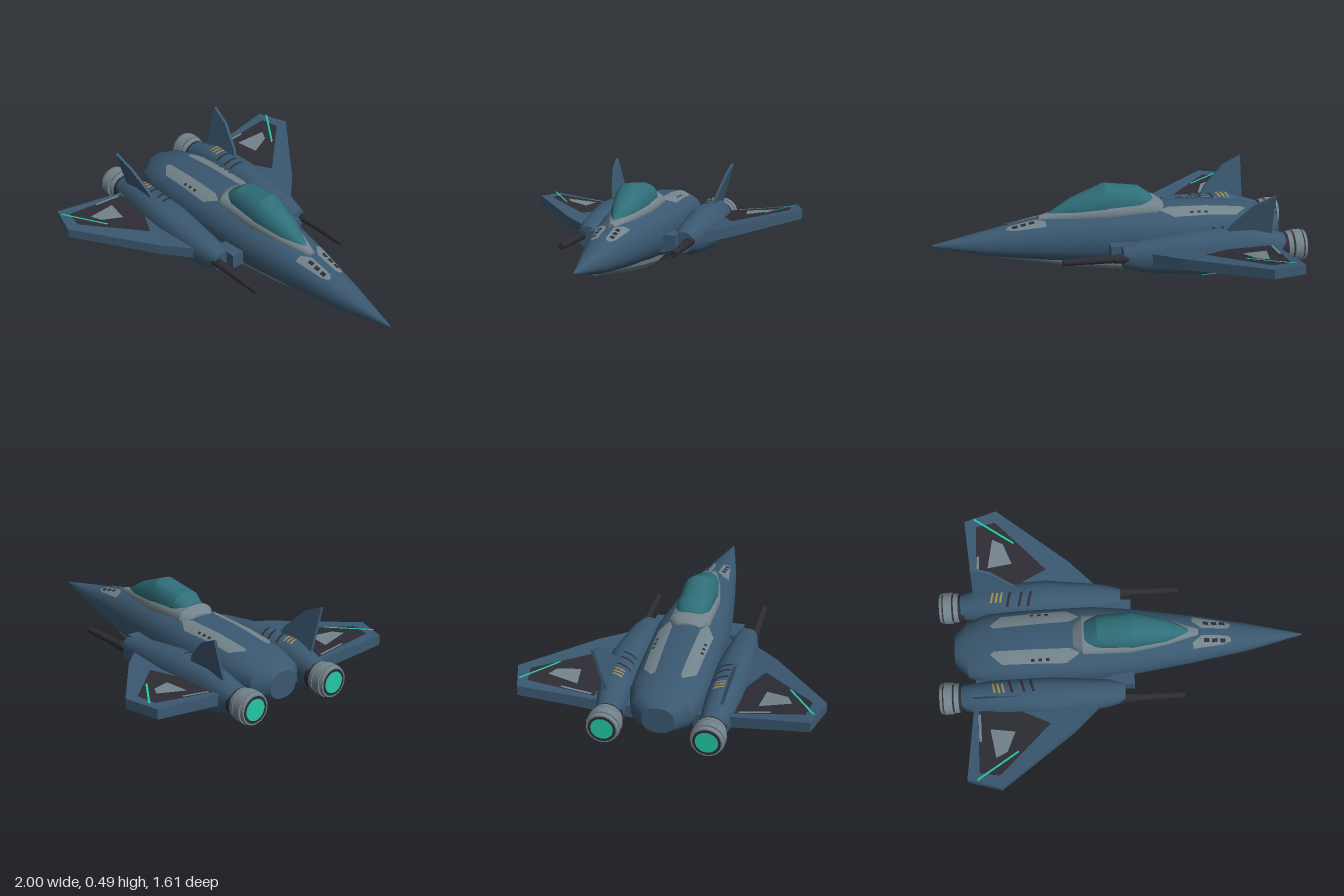
import * as THREE from 'three';
import { toCreasedNormals } from 'three/addons/utils/BufferGeometryUtils.js';

const P = 2.3; // roundness of the hull cross-sections

// Cross-sections run nose to tail: [x, half width, y of widest line, top y, bottom y, centre z]
const HULL = [
  [1, 0.004, 0.215, 0.22, 0.21, 0], [0.7, 0.075, 0.21, 0.28, 0.145, 0],
  [0.4, 0.128, 0.215, 0.338, 0.105, 0], [0.1, 0.175, 0.225, 0.375, 0.075, 0],
  [-0.15, 0.2, 0.235, 0.388, 0.05, 0], [-0.5, 0.2, 0.23, 0.375, 0.052, 0],
  [-0.72, 0.195, 0.22, 0.35, 0.08, 0], [-0.84, 0.16, 0.215, 0.32, 0.11, 0],
  [-0.91, 0.085, 0.21, 0.285, 0.14, 0],
];
const NACELLE = [
  [0.01, 0.055, 0.19, 0.245, 0.13, 0.275], [-0.1, 0.075, 0.19, 0.272, 0.1, 0.28],
  [-0.4, 0.102, 0.19, 0.312, 0.07, 0.285], [-0.7, 0.092, 0.19, 0.312, 0.073, 0.28],
  [-0.88, 0.068, 0.185, 0.258, 0.115, 0.265],
];
const BELLY = [
  [0.69, 0.03, 0.16, 0.17, 0.137, 0], [0.25, 0.11, 0.13, 0.15, 0.06, 0],
  [-0.03, 0.135, 0.11, 0.14, 0.022, 0], [-0.2, 0.125, 0.1, 0.14, 0.032, 0],
  [-0.29, 0.08, 0.09, 0.13, 0.055, 0],
];
const FRAME = [
  [0.42, 0.02, 0.325, 0.35, 0.3, 0], [0.24, 0.075, 0.35, 0.395, 0.3, 0],
  [0.05, 0.112, 0.365, 0.425, 0.3, 0], [-0.21, 0.112, 0.365, 0.43, 0.3, 0],
  [-0.26, 0.07, 0.36, 0.395, 0.3, 0],
];
const GLASS = [
  [0.37, 0.015, 0.34, 0.362, 0.33, 0], [0.24, 0.065, 0.365, 0.44, 0.34, 0],
  [0.06, 0.098, 0.39, 0.512, 0.35, 0], [-0.13, 0.092, 0.395, 0.485, 0.35, 0],
  [-0.2, 0.065, 0.395, 0.435, 0.35, 0],
];

// Skin over cross-sections with capped ends
function loft(sections, n = 28) {
  const pos = [], idx = [], last = sections.length - 1;
  const bend = (v) => Math.sign(v) * Math.abs(v) ** (2 / P);
  for (const [x, w, mid, top, bot, cz] of sections) {
    for (let j = 0; j < n; j++) {
      const t = (j / n) * Math.PI * 2, s = bend(Math.sin(t));
      pos.push(x, mid + s * (s > 0 ? top - mid : mid - bot), cz + w * bend(Math.cos(t)));
    }
  }
  const c0 = pos.length / 3;
  for (const s of [sections[0], sections[last]]) pos.push(s[0], s[2], s[5]);
  for (let j = 0; j < n; j++) {
    const k = (j + 1) % n;
    for (let i = 0; i < last; i++) {
      const a = i * n + j, b = i * n + k;
      idx.push(a, b, a + n, b, b + n, a + n);
    }
    idx.push(c0, k, j, c0 + 1, last * n + j, last * n + k);
  }
  const g = new THREE.BufferGeometry();
  g.setAttribute('position', new THREE.Float32BufferAttribute(pos, 3));
  g.setIndex(idx);
  return toCreasedNormals(g, 0.45);
}

// Height of a lofted skin at (x, z); side is 1 for the top, -1 for the underside
const skin = (sections, side, lift = 0.006) => (x, z) => {
  let i = 0;
  while (i < sections.length - 2 && x < sections[i + 1][0]) i++;
  const a = sections[i], b = sections[i + 1], t = (x - a[0]) / (b[0] - a[0]);
  const [, w, mid, top, bot, cz] = a.map((v, k) => v + (b[k] - v) * t);
  const u = Math.min(1, Math.abs((z - cz) / w));
  const h = (1 - u ** P) ** (1 / P);
  return mid + (side > 0 ? (top - mid) * h + lift : (bot - mid) * h - lift);
};
const wingTop = (z) => 0.228 + (z - 0.38) * 0.118;
const wingBottom = (z) => 0.165 + (z - 0.38) * 0.143;
const onWing = (lift) => (x, z) => wingTop(z) + lift;
const underWing = (x, z) => wingBottom(z) - 0.005;

// Thin sheet between two [x, z] edges, draped over a height rule
function panel(edgeA, edgeB, height, n = 6) {
  const pos = [], idx = [], m = (edgeA.length - 1) * 4;
  const at = (e, i) => {
    const k = Math.min(Math.floor(i / 4), e.length - 2), t = i / 4 - k;
    return [0, 1].map((q) => e[k][q] + (e[k + 1][q] - e[k][q]) * t);
  };
  for (let i = 0; i <= m; i++) {
    const a = at(edgeA, i), b = at(edgeB, i);
    for (let j = 0; j <= n; j++) {
      const x = a[0] + ((b[0] - a[0]) * j) / n, z = a[1] + ((b[1] - a[1]) * j) / n;
      pos.push(x, height(x, z), z);
      if (i < m && j < n) {
        const p = i * (n + 1) + j;
        idx.push(p, p + 1, p + n + 1, p + 1, p + n + 2, p + n + 1);
      }
    }
  }
  const g = new THREE.BufferGeometry();
  g.setAttribute('position', new THREE.Float32BufferAttribute(pos, 3));
  g.setIndex(idx);
  g.computeVertexNormals();
  return g;
}
// Narrow draped line from (x0, z0) to (x1, z1), widened along x or z
const line = (x0, z0, x1, z1, dx, dz, height) =>
  panel([[x0, z0], [x1, z1]], [[x0 + dx, z0 + dz], [x1 + dx, z1 + dz]], height, 2);

// Cylinder lying along x
const tube = (x0, x1, r0, r1, y, z) =>
  new THREE.CylinderGeometry(r1, r0, x1 - x0, 24).rotateZ(-Math.PI / 2).translate((x0 + x1) / 2, y, z);

const polygon = (pts) => new THREE.Shape(pts.map((p) => new THREE.Vector2(...p)));

function warp(g, rule) {
  const p = g.attributes.position;
  for (let i = 0; i < p.count; i++) p.setXYZ(i, ...rule(p.getX(i), p.getY(i), p.getZ(i)));
  g.computeVertexNormals();
  return g;
}

// Copy reflected across z = 0 with corner order restored
function mirrored(geo) {
  const g = geo.index ? geo.toNonIndexed() : geo.clone();
  for (const name of ['position', 'normal']) {
    const a = g.attributes[name], src = a.array.slice();
    for (let i = 0; i < a.count; i++) {
      const s = (i - (i % 3) + 2 - (i % 3)) * 3;
      a.setXYZ(i, src[s], src[s + 1], -src[s + 2]);
    }
  }
  return g;
}

export function createModel() {
  const model = new THREE.Group();
  const mat = (name, color) => {
    const m = new THREE.MeshStandardMaterial({ color, side: THREE.DoubleSide });
    m.name = name;
    return m;
  };
  const blue = mat('hull blue', 0x3a5870), grey = mat('panel grey', 0x73838b), dark = mat('dark metal', 0x2d2c34);
  const teal = mat('canopy teal', 0x2f6e78), glow = mat('glow green', 0x22c8a4), gold = mat('marking gold', 0xa88a48);
  const add = (name, geo, material) => {
    const mesh = new THREE.Mesh(geo, material);
    mesh.name = name;
    model.add(mesh);
  };
  const pair = (name, geo, material) => {
    add(name + 'A', geo, material);
    add(name + 'B', mirrored(geo), material);
  };

  // Body and cockpit
  add('fuselage', loft(HULL), blue);
  add('belly', loft(BELLY, 16), grey);
  add('canopyFrame', loft(FRAME), grey);
  add('canopyGlass', loft(GLASS), teal);

  // Panels and vents on the back and nose
  const back = skin(HULL, 1), backVent = skin(HULL, 1, 0.011);
  pair('backPanel', panel([[-0.71, 0.08], [-0.69, 0.066], [-0.28, 0.076], [-0.23, 0.1]],
    [[-0.71, 0.085], [-0.65, 0.138], [-0.3, 0.15], [-0.23, 0.108]], back), grey);
  for (const x of [-0.49, -0.45, -0.41]) pair('backVent', line(x, 0.122, x + 0.018, 0.122, 0, 0.014, backVent), dark);
  pair('nosePanel', panel([[0.39, 0.06], [0.44, 0.02], [0.58, 0.02], [0.6, 0.035]],
    [[0.39, 0.092], [0.44, 0.084], [0.56, 0.066], [0.6, 0.05]], back), grey);
  for (const x of [0.45, 0.495, 0.54]) pair('noseVent', line(x, 0.04, x + 0.03, 0.038, 0, 0.02, backVent), dark);

  // Slatted vents under the belly
  pair('bellyVent', panel([[-0.53, 0.04], [-0.22, 0.03]], [[-0.5, 0.1], [-0.2, 0.105]], skin(HULL, -1, 0.008)), dark);
  for (let i = 0; i < 6; i++) {
    const x = -0.47 + i * 0.05;
    pair('bellySlat', new THREE.BoxGeometry(0.022, 0.03, 0.055).translate(x, skin(HULL, -1)(x, 0.07) - 0.006, 0.07), dark);
  }
  pair('bellyIntake', panel([[-0.18, 0.03], [0.05, 0.03]], [[-0.18, 0.1], [0.03, 0.09]], skin(BELLY, -1)), dark);

  // Engine nacelles, intake blocks and nozzles
  pair('nacelle', loft(NACELLE), blue);
  pair('intakeBlock', new THREE.BoxGeometry(0.13, 0.085, 0.07).translate(0, 0.193, 0.212), blue);
  const rings = [
    [-0.9, -0.86, 0.074, 0.074, dark], [-0.92, -0.895, 0.083, 0.08, grey], [-0.93, -0.92, 0.076, 0.076, dark],
    [-0.975, -0.93, 0.088, 0.088, grey], [-0.983, -0.975, 0.078, 0.078, dark], [-0.998, -0.983, 0.08, 0.085, grey],
    [-0.999, -0.99, 0.072, 0.072, dark], [-1, -0.99, 0.058, 0.058, glow],
  ];
  for (const [x0, x1, r0, r1, m] of rings) pair('nozzleRing', tube(x0, x1, r0, r1, 0.183, 0.265), m);

  // Nacelle markings and underside light strips
  const pod = skin(NACELLE, 1);
  for (const x of [-0.71, -0.685, -0.66]) pair('goldMark', line(x, 0.235, x + 0.012, 0.29, 0.011, 0, pod), gold);
  for (const x of [-0.615, -0.55, -0.5]) pair('podSlit', line(x - 0.01, 0.215, x + 0.01, 0.29, 0.014, 0, pod), dark);
  pair('podLight', line(-0.64, 0.3, -0.42, 0.3, 0, 0.012, skin(NACELLE, -1)), glow);

  // Guns
  pair('gunBarrel', tube(-0.12, 0.335, 0.024, 0.017, 0.193, 0.31), dark);
  pair('gunSleeve', tube(-0.12, 0.06, 0.027, 0.025, 0.193, 0.31), dark);

  // Wings, rising towards the tips
  const wing = new THREE.ExtrudeGeometry(polygon([[0.05, 0.15], [0.02, 0.21], [-0.11, 0.33], [-0.27, 0.49],
    [-0.67, 0.805], [-0.85, 0.75], [-0.81, 0.3], [-0.8, 0.15]]), { depth: 1, bevelEnabled: false });
  pair('wing', warp(wing, (x, z, d) => [x, d < 0.5 ? wingTop(z) : wingBottom(z), z]), blue);
  const inset = [[[-0.79, 0.36], [-0.785, 0.715], [-0.68, 0.735]], [[-0.56, 0.37], [-0.4, 0.45], [-0.67, 0.73]]];
  const insert = [[[-0.725, 0.47], [-0.695, 0.635]], [[-0.59, 0.49], [-0.635, 0.605]]];
  pair('wingInset', panel(...inset, onWing(0.004)), dark);
  pair('wingInsert', panel(...insert, onWing(0.008)), grey);
  pair('wingEdgePlate', line(-0.79, 0.38, -0.785, 0.54, 0.014, 0, onWing(0.008)), grey);
  pair('wingLight', line(-0.795, 0.75, -0.575, 0.6, 0, 0.013, onWing(0.014)), glow);
  pair('wingUnderInset', panel(...inset, underWing), dark);
  pair('wingUnderInsert', panel(...insert, (x, z) => underWing(x, z) - 0.004), grey);

  // Tail fins, leaning outwards
  const fin = new THREE.ExtrudeGeometry(polygon([[-0.8, 0.28], [-0.54, 0.28], [-0.58, 0.35], [-0.69, 0.46], [-0.8, 0.51]]),
    { depth: 0.016, bevelEnabled: false });
  pair('tailFin', warp(fin, (x, y, z) => [x, y, z + 0.295 + (y - 0.3) * 0.27]), blue);

  return model;
}
